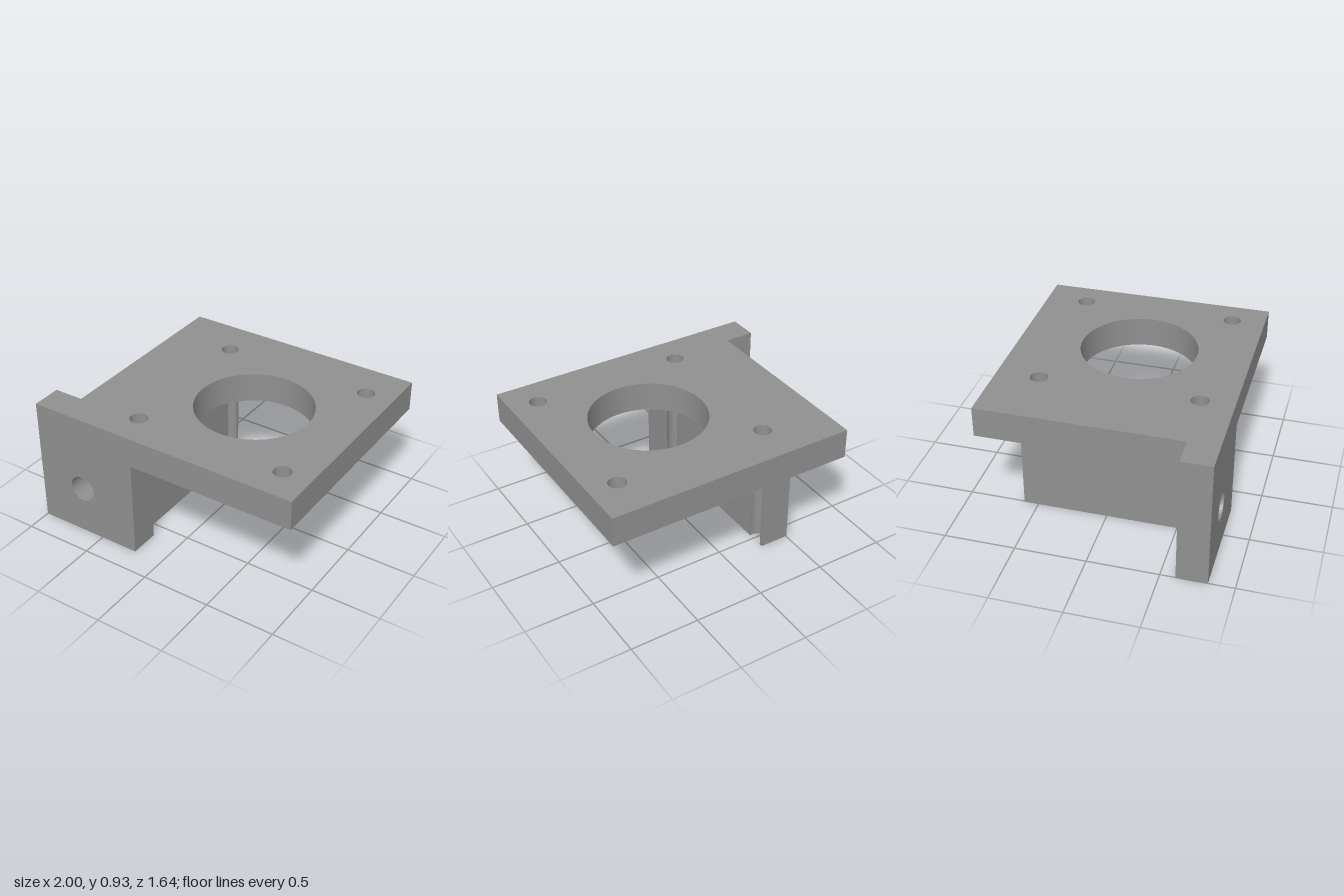
import * as THREE from 'three';
import { toCreasedNormals } from 'three/addons/utils/BufferGeometryUtils.js';

const HOLE_R = 0.062;              // mounting hole radius
const CX = 0.243, CZ = 0.032;      // centre of the hole pattern
const PITCH = 0.553;               // half the hole spacing
const PLATE_Y = 0.715, TOP_Y = 0.93;
const FRONT = 0.82, FLANGE_Z = 0.605;
const WALL_L = -0.505, WALL_R = -0.29;

const polygon = (pts) => new THREE.Shape(pts.map(([x, y]) => new THREE.Vector2(x, y)));
const circle = (x, y, r) => new THREE.Path().absarc(x, y, r, 0, Math.PI * 2, false);

function extrude(shape, depth) {
  return new THREE.ExtrudeGeometry(shape, { depth, bevelEnabled: false, curveSegments: 48 });
}

// Extrude an x-z outline vertically between two heights
function extrudeUp(shape, bottom, top) {
  return extrude(shape, top - bottom).rotateX(Math.PI / 2).translate(0, top, 0);
}

export function createModel() {
  const group = new THREE.Group();
  const grey = new THREE.MeshStandardMaterial({ color: 0x909090 });
  grey.name = 'grey';

  const add = (name, geometry) => {
    const mesh = new THREE.Mesh(toCreasedNormals(geometry, 0.6), grey);
    mesh.name = name;
    group.add(mesh);
  };

  // Top plate with a large bore and four mounting holes
  const plate = polygon([[-0.785, -FRONT], [1, -FRONT], [1, FRONT], [-0.785, FRONT]]);
  plate.holes.push(circle(CX, CZ, 0.412));
  for (const sx of [-1, 1]) {
    for (const sz of [-1, 1]) plate.holes.push(circle(CX + sx * PITCH, CZ + sz * PITCH, HOLE_R));
  }
  add('topPlate', extrudeUp(plate, PLATE_Y, TOP_Y));

  // Front flange, stepped around the plate, with its cross hole
  const flange = polygon([
    [-1, 0], [WALL_L, 0], [WALL_L, PLATE_Y], [-0.785, PLATE_Y], [-0.785, TOP_Y], [-1, TOP_Y],
  ]);
  flange.holes.push(circle(-0.645, 0.36, 0.097));
  add('frontFlange', extrude(flange, FRONT - FLANGE_Z).translate(0, 0, FLANGE_Z));

  // Supporting wall and flange end, grooved where the mounting holes run down
  const hx = CX - PITCH, frontZ = CZ + PITCH, backZ = CZ - PITCH;
  const cut = Math.acos((WALL_R - hx) / HOLE_R);        // groove edge on the wall face
  const flangeCut = Math.asin((FLANGE_Z - frontZ) / HOLE_R);
  const wall = new THREE.Shape();
  wall.moveTo(WALL_L, FRONT);
  wall.lineTo(-0.215, FRONT);
  wall.lineTo(-0.215, FLANGE_Z);
  wall.absarc(hx, frontZ, HOLE_R, flangeCut, Math.PI * 2 - cut, false);
  wall.absarc(hx, backZ, HOLE_R, cut, Math.PI * 2 - cut, false);
  wall.lineTo(WALL_R, -0.603);
  wall.lineTo(WALL_L, -0.603);
  wall.closePath();
  add('supportWall', extrudeUp(wall, 0, PLATE_Y));

  return group;
}
